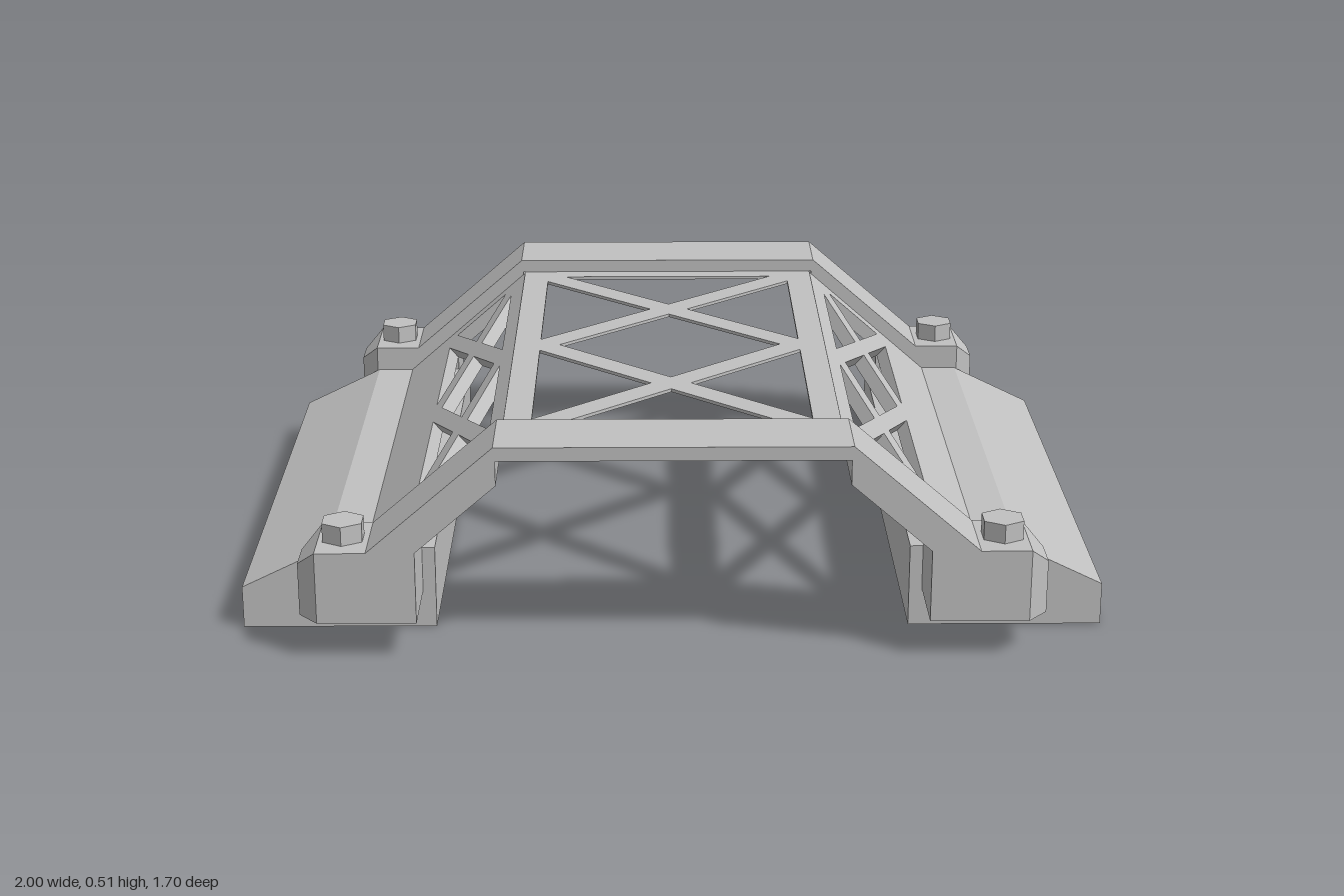
import * as THREE from 'three';
import { ConvexGeometry } from 'three/addons/geometries/ConvexGeometry.js';

const steel = new THREE.MeshStandardMaterial({ color: 0xc0c0c0 });
steel.name = 'light grey';

const toVectors = (points) => points.map(([x, y]) => new THREE.Vector2(x, y));

function part(name, geometry, parent) {
  const mesh = new THREE.Mesh(geometry, steel);
  mesh.name = name;
  parent.add(mesh);
  return mesh;
}

// Profile in x and y, extruded from z0 to z1
function extrude(points, z0, z1, holes = []) {
  const shape = new THREE.Shape(toVectors(points));
  holes.forEach((h) => shape.holes.push(new THREE.Path(toVectors(h))));
  return new THREE.ExtrudeGeometry(shape, { depth: z1 - z0, bevelEnabled: false }).translate(0, 0, z0);
}

// Flat plate with two crossed-brace bays cut out of the window u = -L..L, v = a..b
function trussPlate(halfLength, v0, v1, L, a, b, du, thickness) {
  const dv = (du * (b - a)) / L;
  const c = (a + b) / 2;
  const holes = [[[-(L / 2 - du), c], [0, a + dv], [L / 2 - du, c], [0, b - dv]]];
  for (const s of [-1, 1]) {
    holes.push([[s * L, a + dv], [s * L, b - dv], [s * (L / 2 + du), c]]);
    holes.push([[s * du, b], [s * (L - du), b], [s * L / 2, c + dv]]);
    holes.push([[s * du, a], [s * (L - du), a], [s * L / 2, c - dv]]);
  }
  const outline = [[-halfLength, v0], [halfLength, v0], [halfLength, v1], [-halfLength, v1]];
  return extrude(outline, 0, thickness, holes);
}

export function createModel() {
  const model = new THREE.Group();
  model.name = 'bracedBridgeFrame';

  // Top plate with crossed braces
  const top = trussPlate(0.66, -0.39, 0.39, 0.61, -0.325, 0.325, 0.045, 0.008);
  top.rotateX(-Math.PI / 2).rotateY(Math.PI / 2).translate(0, 0.47, 0);
  part('topPlate', top, model);

  // End arches, reaching down to the feet
  const half = [[0.58, 0.09], [0.805, 0.09], [0.805, 0.26], [0.69, 0.26], [0.4, 0.51]];
  const inner = [[0.395, 0.478], [0.395, 0.42], [0.58, 0.26]];
  const flip = (list) => list.map(([x, y]) => [-x, y]).reverse();
  const arch = [...half, ...flip(half), ...flip(inner), ...inner];
  part('frontArch', extrude(arch, 0.66, 0.85), model);
  part('backArch', extrude(arch, -0.85, -0.66), model);

  // Each side is the same assembly turned half way round
  for (const name of ['left', 'right']) {
    const side = new THREE.Group();
    side.name = name + 'Side';
    if (name === 'right') side.rotation.y = Math.PI;
    model.add(side);

    // Base rail
    const rail = [[0.55, 0], [1, 0], [1, 0.1], [0.8, 0.197], [0.55, 0.197]];
    part('baseRail', extrude(rail, -0.66, 0.66), side);

    // Sloping truss panel, its lower edge sunk in the rail
    const foot = new THREE.Vector3(0.705, 0.2, 0);
    const up = new THREE.Vector3(0.39, 0.475, 0).sub(foot);
    const length = up.length();
    up.normalize();
    const out = new THREE.Vector3(up.y, -up.x, 0);
    const thick = 0.035;
    const panel = trussPlate(0.66, -0.04, length, 0.61, 0.146, 0.372, 0.065, thick);
    const basis = new THREE.Matrix4().makeBasis(new THREE.Vector3(0, 0, -1), up, out);
    basis.setPosition(foot.addScaledVector(out, -thick));
    part('slopingPanel', panel.applyMatrix4(basis), side);

    for (const z of [-0.755, 0.755]) {
      // Tapered outer end of the foot
      const corners = [];
      for (const s of [-1, 1]) {
        for (const y of [0.09, 0.26]) corners.push(new THREE.Vector3(0.805, y, z + s * 0.095));
        for (const y of [0.09, 0.215]) corners.push(new THREE.Vector3(0.85, y, z + s * 0.043));
      }
      part('footEnd', new ConvexGeometry(corners), side);

      // Hexagonal bolt head
      const bolt = new THREE.CylinderGeometry(0.052, 0.052, 0.055, 6).toNonIndexed();
      bolt.computeVertexNormals();
      part('boltHead', bolt, side).position.set(0.748, 0.2775, z);
    }
  }
  return model;
}
